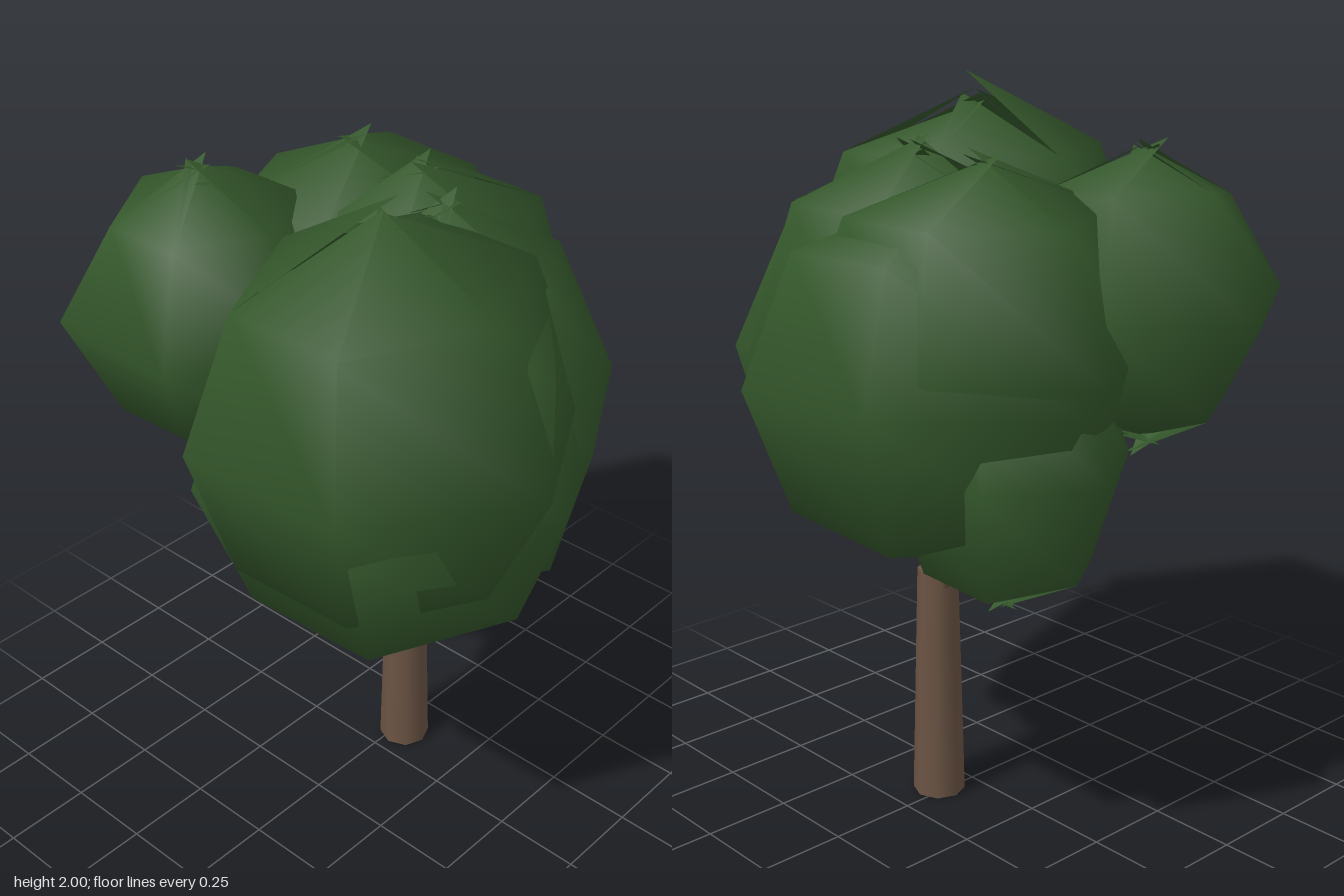
import * as THREE from 'three';

// small seeded generator, returns -1..1
function makeNoise(seed) {
  let s = seed;
  return () => {
    s = (s * 16807) % 2147483647;
    return (s / 2147483647) * 2 - 1;
  };
}

// low-poly leaf clump: six-sided ball with uneven rings and ragged, split poles
function clumpGeometry(rx, ry, rz, ringX, ringZ, lower, seed, peak) {
  const noise = makeNoise(seed * 7919 + 13);
  const cols = 6, rows = 4;
  const geo = new THREE.SphereGeometry(1, cols, rows);
  const pos = geo.attributes.position;
  const v = new THREE.Vector3(), radii = new THREE.Vector3(rx, ry, rz);
  for (let row = 0; row <= rows; row++) {
    for (let col = 0; col <= cols; col++) {
      const i = row * (cols + 1) + col;
      v.fromBufferAttribute(pos, i);
      const pole = row === 0 || row === rows;
      if (!pole && row !== 2) {
        const k = row === 3 ? lower : 1;
        v.x *= ringX * k;
        v.z *= ringZ * k;
      }
      v.multiply(radii);
      const side = pole ? 0.035 : 0.012;
      v.x += noise() * side;
      v.y += noise() * (pole ? 0.025 : 0.02);
      v.z += noise() * side;
      // let the pole faces cross each other like ragged leaves
      if (pole) {
        const angle = (col + (row === 0 ? 0.5 : -0.5)) * Math.PI * 2 / cols;
        v.x += Math.cos(angle) * 0.05;
        v.z -= Math.sin(angle) * 0.05;
      }
      if (peak && i === 0) v.y = peak;
      // close the seam between first and last column
      if (!pole && col === cols) v.fromBufferAttribute(pos, row * (cols + 1));
      pos.setXYZ(i, v.x, v.y, v.z);
    }
  }
  geo.computeVertexNormals();
  // share one normal along the seam
  const n = geo.attributes.normal, b = new THREE.Vector3();
  for (let row = 1; row < rows; row++) {
    const first = row * (cols + 1), last = first + cols;
    v.fromBufferAttribute(n, first).add(b.fromBufferAttribute(n, last)).normalize();
    n.setXYZ(first, v.x, v.y, v.z);
    n.setXYZ(last, v.x, v.y, v.z);
  }
  return geo;
}

// tapered limb between two points
function limb(name, from, to, r0, r1, sides, material) {
  const a = new THREE.Vector3(...from), b = new THREE.Vector3(...to);
  const dir = b.clone().sub(a);
  const mesh = new THREE.Mesh(new THREE.CylinderGeometry(r1, r0, dir.length(), sides), material);
  mesh.position.copy(a).add(b).multiplyScalar(0.5);
  mesh.quaternion.setFromUnitVectors(new THREE.Vector3(0, 1, 0), dir.normalize());
  mesh.name = name;
  return mesh;
}

export function createModel() {
  const tree = new THREE.Group();
  tree.name = 'tree';
  const bark = new THREE.MeshStandardMaterial({ color: 0x6b5444 });
  bark.name = 'bark brown';
  const leaf = new THREE.MeshStandardMaterial({ color: 0x34572b, side: THREE.DoubleSide });
  leaf.name = 'leaf green';

  // trunk and forked branches
  tree.add(limb('trunk', [0.025, 0, -0.107], [0.025, 0.68, -0.107], 0.074, 0.057, 8, bark));
  tree.add(limb('rightBranch', [0.02, 0.62, -0.107], [-0.2, 0.95, -0.107], 0.036, 0.026, 6, bark));
  tree.add(limb('leftBranch', [0.03, 0.62, -0.05], [0.24, 0.86, -0.04], 0.036, 0.024, 6, bark));

  // leaf clumps: name, centre, radii, ring widths (x, z, lower ring factor), optional peak height
  const clumps = [
    ['frontLeftClump', [0.29, 1.42, 0.28], [0.51, 0.51, 0.5], [0.94, 1.13, 1], 2.0],
    ['innerFrontClump', [0.26, 1.28, 0.19], [0.52, 0.52, 0.54], [1.07, 1.09, 1]],
    ['frontRightClump', [-0.39, 1.46, 0.22], [0.41, 0.4, 0.4], [0.84, 0.92, 1]],
    ['backRightClump', [-0.19, 1.3, -0.28], [0.48, 0.47, 0.5], [1.05, 1.08, 1]],
    ['lowRightClump', [-0.37, 1.1, -0.21], [0.33, 0.39, 0.31], [1, 1, 1]],
    ['backLeftClump', [0.18, 1.3, -0.07], [0.49, 0.54, 0.47], [0.88, 0.92, 1.2]],
    ['middleClump', [0, 1.34, -0.17], [0.46, 0.52, 0.46], [1.02, 1.02, 1.05]],
    ['sideClump', [-0.25, 1.36, -0.21], [0.45, 0.49, 0.45], [1, 1.08, 1]],
  ];
  const foliage = new THREE.Group();
  foliage.name = 'foliage';
  clumps.forEach(([name, c, r, ring, peak], i) => {
    const mesh = new THREE.Mesh(clumpGeometry(...r, ...ring, i + 1, peak ? peak - c[1] : 0), leaf);
    mesh.position.set(...c);
    mesh.name = name;
    foliage.add(mesh);
  });
  tree.add(foliage);
  return tree;
}
